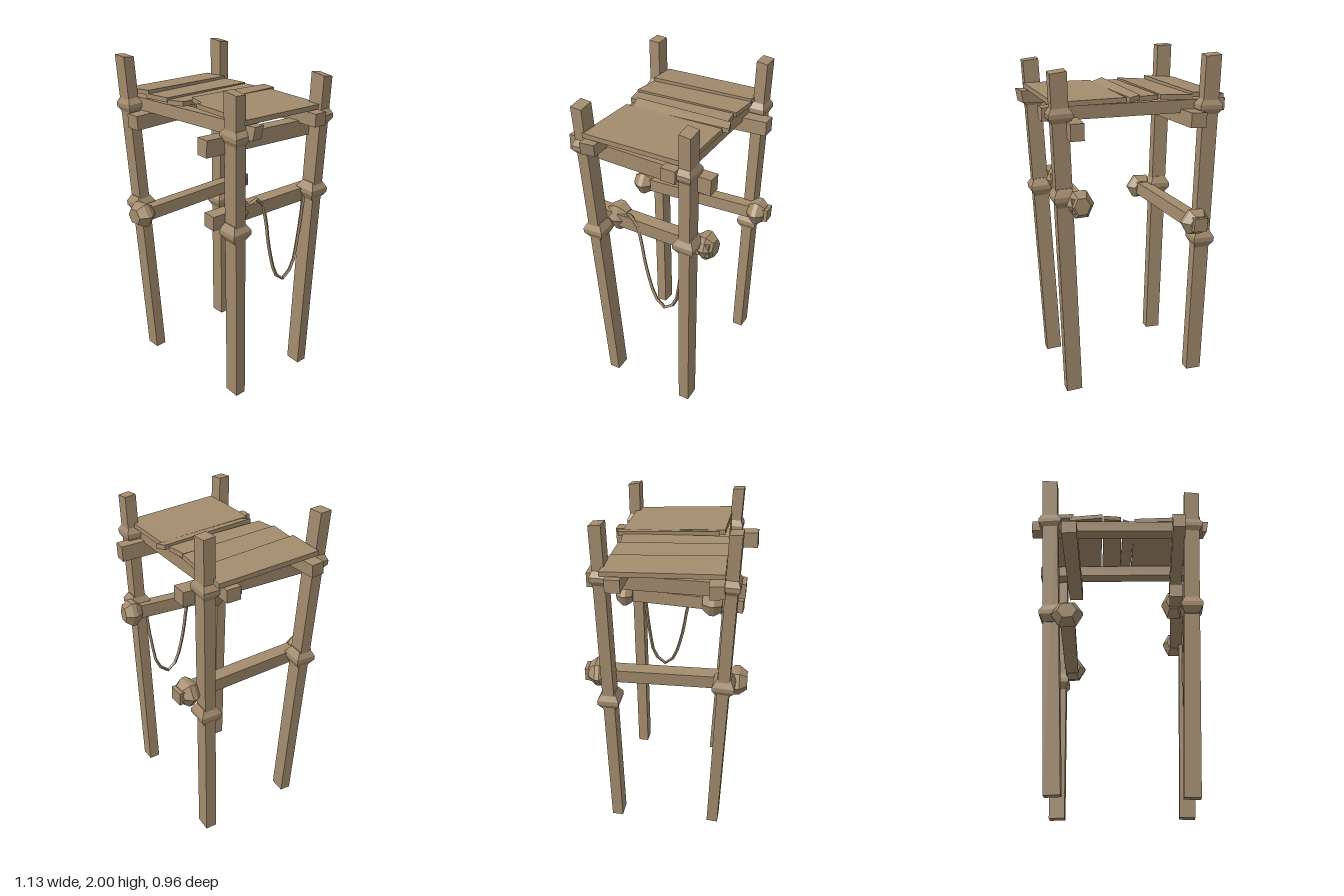
import * as THREE from 'three';

const Y = new THREE.Vector3(0, 1, 0);

export function createModel() {
  const model = new THREE.Group();
  const wood = new THREE.MeshStandardMaterial({ color: 0xa38c6e, flatShading: true });
  wood.name = 'weathered wood';

  const add = (parent, name, geometry) => {
    const mesh = new THREE.Mesh(geometry, wood);
    mesh.name = name;
    parent.add(mesh);
    return mesh;
  };

  // Squared timber from a to b; slant lowers one side of the far end.
  // The returned group has local y along the timber, starting at a.
  function timber(name, a, b, w, d, slant = 0) {
    const start = new THREE.Vector3(...a);
    const dir = new THREE.Vector3(...b).sub(start);
    const len = dir.length();
    const group = new THREE.Group();
    group.name = name;
    group.position.copy(start);
    group.quaternion.setFromUnitVectors(Y, dir.normalize());
    const geo = new THREE.BoxGeometry(w, len, d).translate(0, len / 2, 0);
    const p = geo.attributes.position;
    for (let i = 0; i < p.count; i++) {
      if (p.getY(i) > len / 2 && p.getX(i) > 0) p.setY(i, len - slant);
      if (p.getY(i) > len / 2 && p.getZ(i) < 0) p.setY(i, p.getY(i) - slant);
    }
    add(group, name + 'Timber', geo);
    model.add(group);
    return group;
  }

  // Faceted rope binding around a timber, w by d at its widest
  function binding(group, at, w, d, height, sides, shift = 0) {
    const k = 1 / Math.cos(Math.PI / sides) / 2;
    const profile = [[0, -0.5], [0.62, -0.5], [1, -0.12], [1, 0.12], [0.62, 0.5], [0, 0.5]]
      .map(([r, y]) => new THREE.Vector2(r * k, y * height));
    const geo = new THREE.LatheGeometry(profile, sides, Math.PI / sides);
    const mesh = add(group, 'binding', geo.scale(w, 1, d));
    mesh.position.set(shift, at, 0);
  }

  // Leaning corner posts with an upper and a lower binding
  const posts = [
    ['frontRightPost', [-0.365, 0, 0.308], [-0.45, 1.995, 0.388], 1.06],
    ['backRightPost', [-0.408, 0, -0.305], [-0.453, 2, -0.333], 0.9],
    ['frontLeftPost', [0.383, 0, 0.23], [0.453, 1.94, 0.315], 1.14],
    ['backLeftPost', [0.385, 0, -0.305], [0.445, 1.94, -0.333], 1.24],
  ];
  for (const [name, a, b, low] of posts) {
    const post = timber(name, a, b, 0.095, 0.068, 0.008);
    binding(post, 1.7, 0.138, 0.095, 0.1, 4);
    binding(post, low, 0.13, 0.127, 0.11, 4);
  }

  // Side rails, each bound near both posts
  const lowRail = timber('rightSideRail', [-0.305, 1.03, 0.46], [-0.36, 1.03, -0.475], 0.085, 0.08);
  binding(lowRail, 0.045, 0.16, 0.145, 0.12, 6);
  binding(lowRail, 0.86, 0.16, 0.145, 0.11, 6);
  const highRail = timber('leftSideRail', [0.33, 1.197, 0.39], [0.362, 1.21, -0.44], 0.08, 0.085);
  binding(highRail, 0.2, 0.13, 0.16, 0.13, 6, -0.015);
  binding(highRail, 0.79, 0.13, 0.15, 0.11, 6, -0.015);

  // Beams that carry the platform
  timber('rightSideBeam', [-0.315, 1.625, 0.44], [-0.345, 1.64, -0.43], 0.095, 0.085);
  timber('leftSideBeam', [0.36, 1.648, 0.455], [0.365, 1.62, -0.44], 0.078, 0.095);
  timber('frontCrossBeam', [-0.56, 1.697, 0.31], [0.555, 1.725, 0.228], 0.075, 0.08, 0.015);
  timber('backCrossBeam', [-0.575, 1.697, -0.235], [0.525, 1.7, -0.255], 0.075, 0.085);

  // Crooked planks: corners as [x, z, top y] in the order
  // back right, back left, front left, front right
  const planks = [
    [[-0.55, -0.31, 1.765], [-0.355, -0.3, 1.78], [-0.3, 0.33, 1.8], [-0.51, 0.345, 1.78]],
    [[-0.355, -0.305, 1.765], [-0.16, -0.3, 1.775], [-0.115, 0.33, 1.793], [-0.325, 0.33, 1.777]],
    [[-0.15, -0.29, 1.772], [-0.02, -0.31, 1.772], [0, 0.303, 1.79], [-0.11, 0.33, 1.782]],
    [[-0.025, -0.335, 1.785], [0.04, -0.355, 1.775], [0.087, 0.235, 1.788], [0.012, 0.25, 1.81]],
    [[0.05, -0.32, 1.772], [0.465, -0.323, 1.767], [0.505, 0.283, 1.795], [0.087, 0.275, 1.793]],
  ];
  const platform = new THREE.Group();
  platform.name = 'platform';
  model.add(platform);
  for (const c of planks) {
    const geo = new THREE.BoxGeometry(1, 1, 1);
    const p = geo.attributes.position;
    for (let i = 0; i < p.count; i++) {
      const left = p.getX(i) > 0, front = p.getZ(i) > 0;
      const [x, z, y] = c[front ? (left ? 2 : 3) : (left ? 1 : 0)];
      p.setXYZ(i, x, p.getY(i) > 0 ? y : y - 0.028, z);
    }
    add(platform, 'plank', geo);
  }

  // Slack rope hanging from the high rail to the back post
  const rope = new THREE.CatmullRomCurve3([
    [0.36, 1.23, 0.14], [0.375, 1.268, 0.1], [0.38, 1.24, 0.05], [0.385, 1.12, 0.012],
    [0.385, 0.93, -0.02], [0.385, 0.72, -0.085], [0.385, 0.668, -0.14],
    [0.388, 0.735, -0.215], [0.392, 0.9, -0.25], [0.4, 1.22, -0.285],
  ].map((v) => new THREE.Vector3(...v)));
  add(model, 'hangingRope', new THREE.TubeGeometry(rope, 18, 0.011, 4));

  return model;
}
